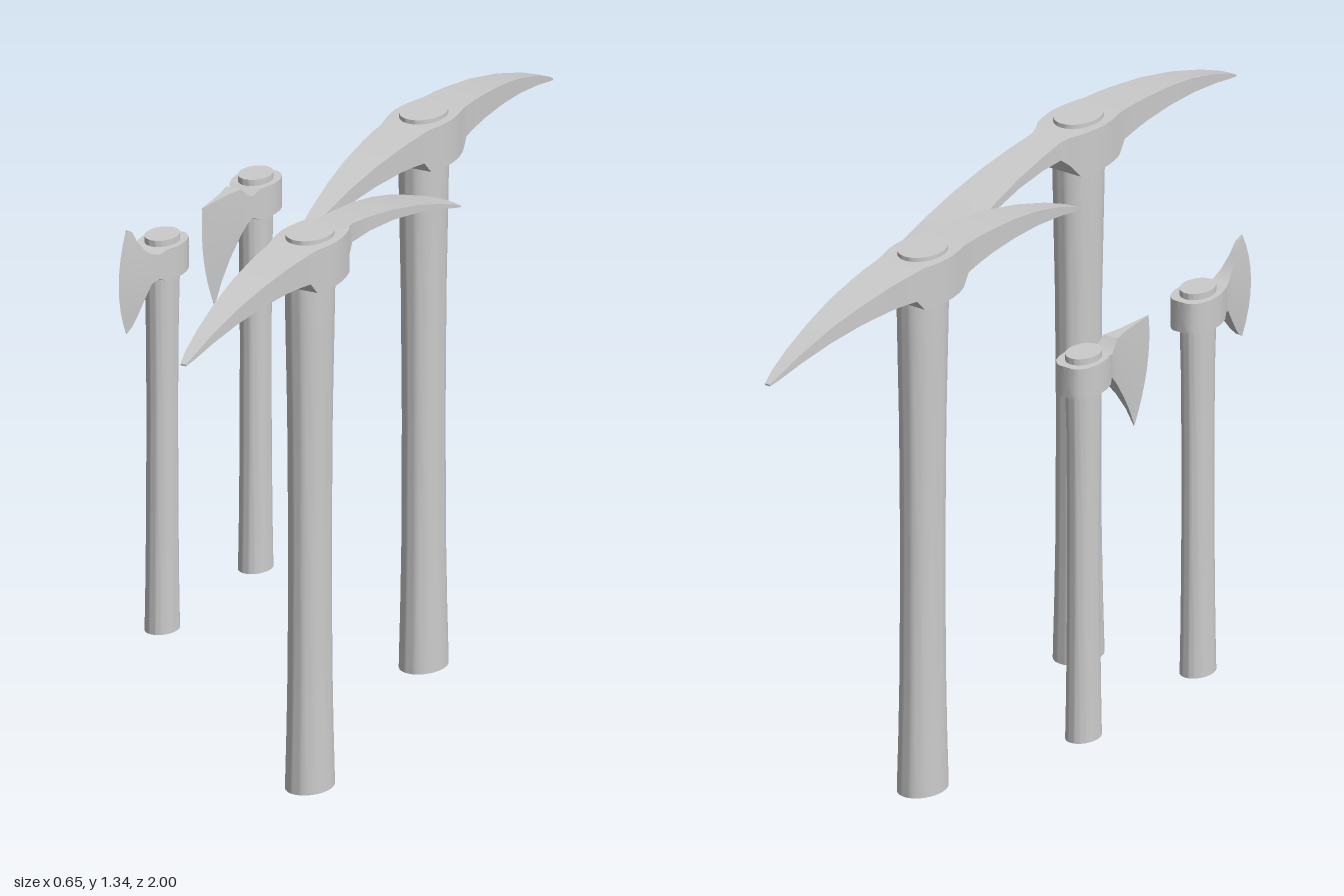
import * as THREE from 'three';
import { toCreasedNormals } from 'three/addons/utils/BufferGeometryUtils.js';

const material = new THREE.MeshStandardMaterial({ color: 0xcccccc });
const lerp = THREE.MathUtils.lerp;

// Loft of rectangular sections along +z.
// Section: [halfWidth, zTop, yTop, zBottom, yBottom, bowDown, bowAcross]
function loft(sections, nx = 6, ny = 8) {
  const ring = []; // (h, v): h across -1..1, v up 0..1, counter-clockwise
  for (let i = 0; i < ny; i++) ring.push([1, i / ny]);
  for (let i = 0; i < nx; i++) ring.push([1 - (2 * i) / nx, 1]);
  for (let i = 0; i < ny; i++) ring.push([-1, 1 - i / ny]);
  for (let i = 0; i < nx; i++) ring.push([-1 + (2 * i) / nx, 0]);
  const n = ring.length, pos = [], idx = [];
  for (const [w, zt, yt, zb, yb, bow = 0, bowX = 0] of sections) {
    for (const [h, v] of ring) {
      pos.push(h * w, lerp(yb, yt, v), lerp(zb, zt, v) + bow * 4 * v * (1 - v) + bowX * (1 - h * h));
    }
  }
  const last = sections.length - 1;
  for (let s = 0; s < last; s++) {
    for (let i = 0; i < n; i++) {
      const a = s * n + i, b = s * n + ((i + 1) % n);
      idx.push(a, b, b + n, a, b + n, a + n);
    }
  }
  // end caps
  for (const s of [0, last]) {
    const c = pos.length / 3, mid = [0, 0, 0];
    for (let i = 0; i < n; i++) for (let k = 0; k < 3; k++) mid[k] += pos[(s * n + i) * 3 + k] / n;
    pos.push(...mid);
    for (let i = 0; i < n; i++) {
      const a = s * n + i, b = s * n + ((i + 1) % n);
      if (s === 0) idx.push(c, b, a);
      else idx.push(c, a, b);
    }
  }
  const g = new THREE.BufferGeometry();
  g.setAttribute('position', new THREE.Float32BufferAttribute(pos, 3));
  g.setIndex(idx);
  return toCreasedNormals(g, 0.6);
}

// Oval wooden handle from a [radius, y] profile
function handle(profile, depth) {
  const points = profile.map(([r, y]) => new THREE.Vector2(r, y));
  const g = new THREE.LatheGeometry(points, 40);
  g.scale(1, 1, depth);
  const mesh = new THREE.Mesh(toCreasedNormals(g, 0.6), material);
  mesh.name = 'handle';
  return mesh;
}

function tool(name, headName, sections, handleMesh, x, z) {
  const group = new THREE.Group();
  group.name = name;
  const head = new THREE.Mesh(loft(sections), material);
  head.name = headName;
  group.add(handleMesh, head);
  group.position.set(x, 0, z);
  return group;
}

// Pickaxe pieces: [distance from handle, halfWidth, yTop, yBottom, edgeBow]
const pickEye = [
  [0.025, 0.07, 1.325, 1.22], [0.05, 0.066, 1.325, 1.22], [0.075, 0.06, 1.325, 1.222],
];
const pointArm = [
  [0.1, 0.056, 1.323, 1.25], [0.15, 0.053, 1.321, 1.256], [0.2, 0.049, 1.317, 1.259],
  [0.3, 0.041, 1.305, 1.258], [0.4, 0.031, 1.285, 1.249], [0.5, 0.021, 1.256, 1.233],
  [0.57, 0.013, 1.229, 1.217], [0.6, 0.007, 1.214, 1.21],
];
const adzeArm = [
  [0.1, 0.047, 1.323, 1.255], [0.125, 0.041, 1.32, 1.275], [0.2, 0.045, 1.312, 1.278],
  [0.3, 0.051, 1.297, 1.272], [0.4, 0.057, 1.275, 1.256], [0.5, 0.064, 1.246, 1.234],
  [0.56, 0.068, 1.225, 1.217, 0.01], [0.585, 0.07, 1.215, 1.211, 0.018],
];

function pickSections(frontArm, backArm) {
  const side = (arm, s) => [...pickEye, ...arm].map(
    ([d, w, yt, yb, bow = 0]) => [w, s * d, yt, s * d, yb, 0, s * bow]);
  return [...side(backArm, -1).reverse(), [0.072, 0, 1.325, 0, 1.22], ...side(frontArm, 1)];
}

const pickHandle = () => handle([
  [0, 0], [0.052, 0], [0.0515, 0.03], [0.049, 0.14], [0.0465, 0.3], [0.0455, 0.6],
  [0.0475, 0.9], [0.051, 1.1], [0.053, 1.22], [0.051, 1.335], [0, 1.335],
], 1.33);

// Axe pieces
const axeEye = [[-0.068, 0.02], [-0.062, 0.03], [-0.048, 0.042], [-0.025, 0.049], [0, 0.051],
  [0.025, 0.048], [0.05, 0.04]].map(([z, w]) => [w, z, 1.13, z, 1.055]);

const doubleFlaredBlade = [
  [0.03, 0.068, 1.122, 0.068, 1.064], [0.021, 0.088, 1.126, 0.088, 1.056],
  [0.015, 0.11, 1.143, 0.11, 1.025, 0.008], [0.009, 0.135, 1.172, 0.135, 0.99, 0.018],
  [0.005, 0.152, 1.2, 0.152, 0.971, 0.026], [0.001, 0.17, 1.21, 0.17, 0.96, 0.034],
];
const beardedBlade = [
  [0.03, 0.068, 1.116, 0.068, 1.064], [0.024, 0.08, 1.12, 0.08, 1.054],
  [0.019, 0.104, 1.143, 0.1, 1.035, 0.004], [0.01, 0.15, 1.143, 0.14, 0.985, 0.01],
  [0.005, 0.2, 1.143, 0.17, 0.94, 0.016], [0.001, 0.25, 1.143, 0.195, 0.89, 0.022],
];

const axeHandle = () => handle([
  [0, 0.195], [0.037, 0.195], [0.0365, 0.22], [0.035, 0.32], [0.0335, 0.5],
  [0.033, 0.75], [0.0345, 0.95], [0.037, 1.06], [0.037, 1.145], [0, 1.145],
], 1.33);

export function createModel() {
  const model = new THREE.Group();
  model.name = 'tools';
  model.add(
    tool('adzePickaxe', 'pickaxeHead', pickSections(pointArm, adzeArm), pickHandle(), 0.25, 0.4),
    tool('pointedPickaxe', 'pickaxeHead', pickSections(pointArm, pointArm), pickHandle(), 0.108, -0.4),
    tool('flaredAxe', 'axeHead', [...axeEye, ...doubleFlaredBlade], axeHandle(), -0.275, 0.13),
    tool('beardedAxe', 'axeHead', [...axeEye, ...beardedBlade], axeHandle(), -0.275, -0.312),
  );
  return model;
}
